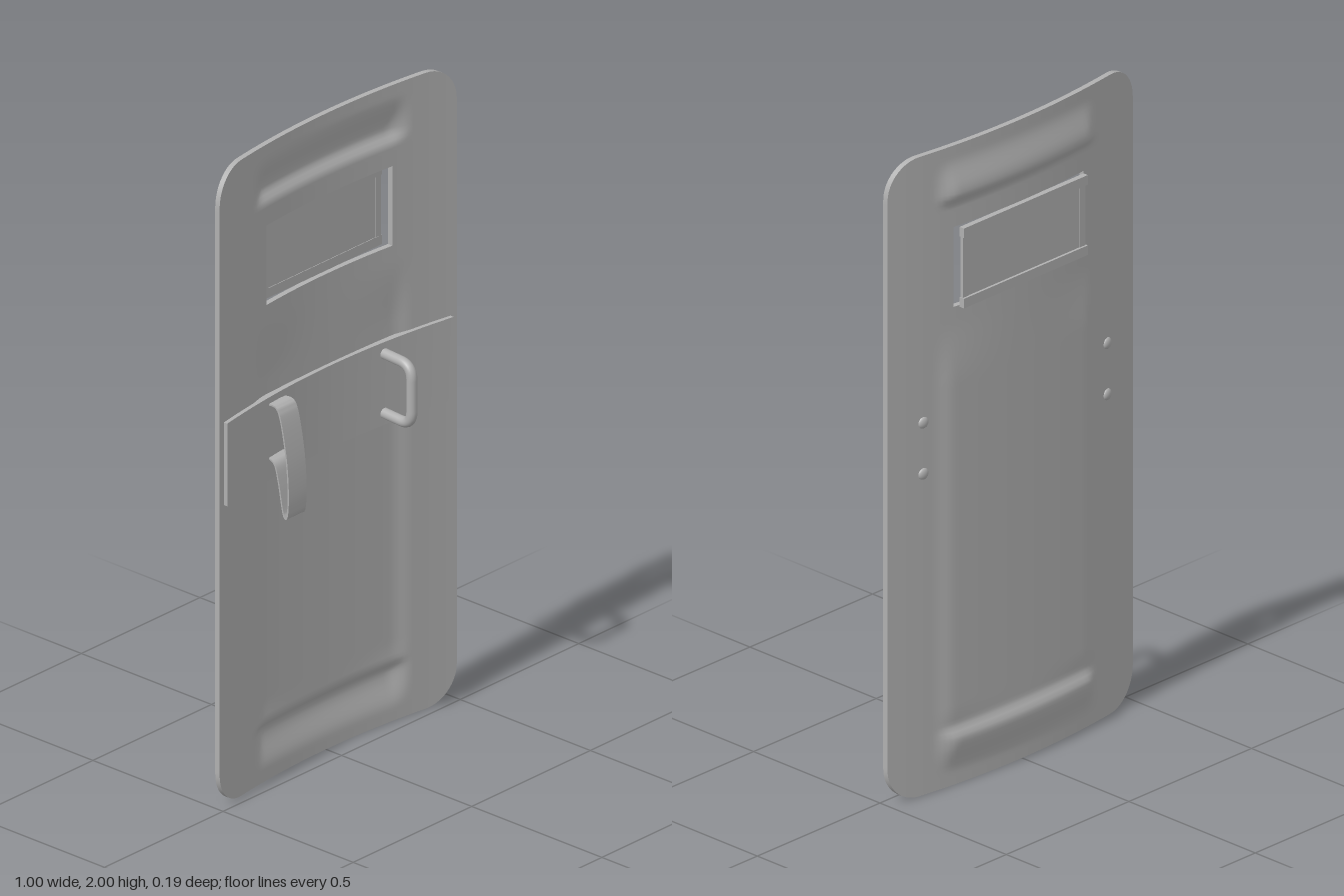
import * as THREE from 'three';
import { toCreasedNormals } from 'three/addons/utils/BufferGeometryUtils.js';

const grey = new THREE.MeshStandardMaterial({ color: 0xb0b0b0 });
grey.name = 'shield grey';

const HALF_W = 0.5, HEIGHT = 2, CORNER = 0.11, THICK = 0.017;
const HOLE = { x: 0.265, y0: 1.495, y1: 1.745 };
const smooth = THREE.MathUtils.smoothstep;

// Curved back face of the plate
const arc = x => -0.077 + 0.047 * (x / HALF_W) ** 2;

// Pressed ridges near the top and bottom, and a slightly flattened centre panel
function pressing(x, y) {
  const ax = Math.abs(x), d = Math.abs(y - 1);
  const side = 1 - smooth(ax, 0.265, 0.335);
  const ridge = smooth(d, 0.81, 0.85) * (1 - smooth(d, 0.855, 0.96));
  const panel = (ax / 0.27) ** 2 * (1 - smooth(y, 1.25, 1.45)) * smooth(y, 0.12, 0.25);
  return -side * (0.02 * ridge + 0.007 * panel);
}

function halfWidth(y) {
  const t = Math.max(0, CORNER - Math.min(y, HEIGHT - y));
  return HALF_W - CORNER + Math.sqrt(CORNER * CORNER - t * t);
}

// Evenly divide the spans between the given stops
function divide(stops, step) {
  const out = [stops[0]];
  for (let i = 1; i < stops.length; i++) {
    const a = stops[i - 1], b = stops[i], n = Math.ceil((b - a) / step - 1e-6);
    for (let k = 1; k <= n; k++) out.push(a + (b - a) * k / n);
  }
  return out;
}

function geometry(positions, index) {
  const g = new THREE.BufferGeometry();
  g.setAttribute('position', new THREE.Float32BufferAttribute(positions, 3));
  if (index) g.setIndex(index);
  g.computeVertexNormals();
  return g;
}

function add(parent, name, geo) {
  const m = new THREE.Mesh(geo, grey);
  m.name = name;
  parent.add(m);
  return m;
}

// Plate: front face, back face and rim walls on one grid with a window opening
function buildPlate(parent) {
  const us = divide([-0.5, -HOLE.x, HOLE.x, 0.5], 0.016);
  const corner = Array.from({ length: 12 }, (_, k) => CORNER * (1 - Math.cos(k / 11 * Math.PI / 2)));
  const ys = [...corner, ...divide([CORNER, HOLE.y0, HOLE.y1, HEIGHT - CORNER], 0.012).slice(1, -1),
    ...corner.map(c => HEIGHT - c).reverse()];
  const nx = us.length, ny = ys.length;
  const front = [], back = [], fi = [], bi = [], wall = [];
  for (const y of ys) for (const u of us) {
    const x = u / HALF_W * halfWidth(y), z = arc(x) + pressing(x, y);
    back.push(x, y, z);
    front.push(x, y, z + THICK);
  }
  const solid = (i, j) => {
    if (i < 0 || j < 0 || i >= nx - 1 || j >= ny - 1) return false;
    const cx = (us[i] + us[i + 1]) / 2, cy = (ys[j] + ys[j + 1]) / 2;
    return !(Math.abs(cx) < HOLE.x && cy > HOLE.y0 && cy < HOLE.y1);
  };
  const at = (list, k) => list.slice(k * 3, k * 3 + 3);
  const rim = (p, q) => {
    const pf = at(front, p), pb = at(back, p), qf = at(front, q), qb = at(back, q);
    wall.push(...pf, ...pb, ...qb, ...pf, ...qb, ...qf);
  };
  for (let j = 0; j < ny - 1; j++) for (let i = 0; i < nx - 1; i++) {
    if (!solid(i, j)) continue;
    const a = j * nx + i, b = a + 1, d = a + nx, c = d + 1;
    fi.push(a, b, c, a, c, d);
    bi.push(a, c, b, a, d, c);
    if (!solid(i, j - 1)) rim(a, b);
    if (!solid(i + 1, j)) rim(b, c);
    if (!solid(i, j + 1)) rim(c, d);
    if (!solid(i - 1, j)) rim(d, a);
  }
  add(parent, 'plateFront', geometry(front, fi));
  add(parent, 'plateBack', geometry(back, bi));
  add(parent, 'plateRim', toCreasedNormals(geometry(wall), 0.6));
}

// Curved pad across the inside
function buildPad(parent) {
  const g = new THREE.BoxGeometry(0.955, 0.26, 0.022, 48, 1, 1);
  const p = g.attributes.position;
  for (let i = 0; i < p.count; i++) p.setZ(i, p.getZ(i) + 0.019 + arc(p.getX(i)));
  g.translate(0, 1.08, 0);
  g.computeVertexNormals();
  add(parent, 'pad', g);
}

// Forearm strap: a thin ribbon loop
function buildStrap(parent) {
  const path = [[-0.038, 1.187], [-0.005, 1.184], [0.014, 1.14], [0.034, 1.03], [0.041, 0.93], [0.038, 0.865],
    [0.029, 0.848], [0.019, 0.87], [0.004, 0.95], [-0.012, 1.005], [-0.04, 1.02]];
  const curve = new THREE.SplineCurve(path.map(p => new THREE.Vector2(...p)));
  const outer = [], inner = [];
  for (let i = 0; i <= 48; i++) {
    const p = curve.getPoint(i / 48), t = curve.getTangent(i / 48);
    outer.push(new THREE.Vector2(p.x - t.y * 0.0025, p.y + t.x * 0.0025));
    inner.push(new THREE.Vector2(p.x + t.y * 0.0025, p.y - t.x * 0.0025));
  }
  const g = new THREE.ExtrudeGeometry(new THREE.Shape([...outer, ...inner.reverse()]),
    { depth: 0.075, bevelEnabled: false });
  g.rotateY(-Math.PI / 2).translate(-0.195, 0, 0);
  add(parent, 'armStrap', toCreasedNormals(g, 0.7));
}

// Hand grip: a bent round bar leaning towards the middle
function buildGrip(parent) {
  const v = (y, z) => new THREE.Vector3(0.222 - (z + 0.035) * 0.08, y, z);
  const hi = 1.174, lo = 0.987, out = 0.076, r = 0.045;
  const path = new THREE.CurvePath();
  path.add(new THREE.LineCurve3(v(hi, -0.045), v(hi, out - r)));
  path.add(new THREE.QuadraticBezierCurve3(v(hi, out - r), v(hi, out), v(hi - r, out)));
  path.add(new THREE.LineCurve3(v(hi - r, out), v(lo + r, out)));
  path.add(new THREE.QuadraticBezierCurve3(v(lo + r, out), v(lo, out), v(lo, out - r)));
  path.add(new THREE.LineCurve3(v(lo, out - r), v(lo, -0.045)));
  add(parent, 'handGrip', new THREE.TubeGeometry(path, 64, 0.016, 16, false));
}

// Window: flat pane with raised rails, standing behind the opening
function buildWindow(parent) {
  const box = (name, w, h, d, x, y, z) =>
    add(parent, name, new THREE.BoxGeometry(w, h, d)).position.set(x, y, z);
  box('windowPane', 0.5, 0.25, 0.007, 0, 1.62, -0.081);
  for (const s of [-1, 1]) {
    box('windowRail', 0.505, 0.03, 0.017, 0, 1.62 + s * 0.11, -0.084);
    box('windowStile', 0.025, 0.19, 0.01, s * 0.238, 1.62, -0.081);
  }
}

// Domed rivets on the outside
function buildRivets(parent) {
  for (const x of [-0.375, 0.375]) for (const y of [1.005, 1.165]) {
    const g = new THREE.SphereGeometry(0.018, 20, 8, 0, Math.PI * 2, 0, Math.PI / 2);
    g.rotateX(-Math.PI / 2).scale(1, 1, 0.55);
    const m = add(parent, 'rivet', g);
    m.position.set(x, y, arc(x) + 0.001);
    m.rotation.y = -Math.atan(2 * 0.047 * x / HALF_W ** 2);
  }
}

export function createModel() {
  const shield = new THREE.Group();
  shield.name = 'shield';
  for (const build of [buildPlate, buildPad, buildStrap, buildGrip, buildWindow, buildRivets]) build(shield);
  return shield;
}
